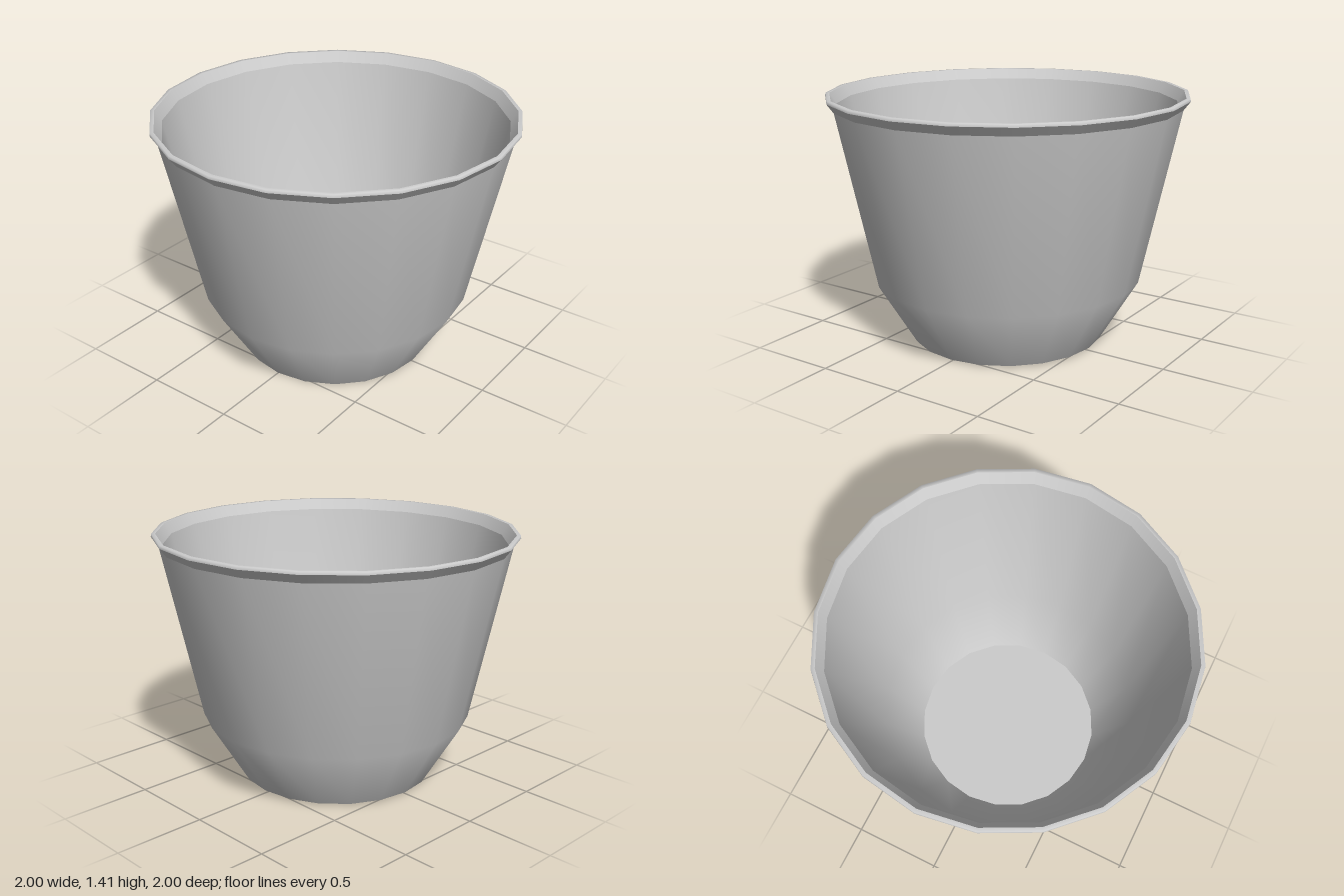
import * as THREE from 'three';

const SIDES = 20;

// Slight hand-made lean: the base dips toward the front, the rim barely does
function lean(geometry) {
  const p = geometry.attributes.position;
  for (let i = 0; i < p.count; i++) {
    const y = p.getY(i);
    const k = 0.013 - 0.01 * Math.min(y / 1.4, 1);
    p.setY(i, y - p.getZ(i) * k);
  }
  return geometry;
}

export function createModel() {
  const group = new THREE.Group();
  group.name = 'cup';
  const material = new THREE.MeshStandardMaterial({ color: 0xcccccc });

  // Each part is a ring of the cup's profile, listed as [radius, height]
  const part = (name, profile) => {
    const points = profile.map(([r, y]) => new THREE.Vector2(r, y));
    const mesh = new THREE.Mesh(lean(new THREE.LatheGeometry(points, SIDES)), material);
    mesh.name = name;
    group.add(mesh);
  };

  // Outside, from the base up to the flared lip
  part('base', [[0, 0.008], [0.545, 0.008]]);
  part('outerWall', [[0.545, 0.008], [0.755, 0.36], [0.962, 1.34]]);
  part('lipFlare', [[0.962, 1.34], [0.998, 1.388]]);
  part('lipEdge', [[0.998, 1.388], [0.996, 1.404], [0.975, 1.404]]);

  // Inside, from the lip down to the floor
  part('lipBevel', [[0.975, 1.404], [0.938, 1.345]]);
  part('innerWall', [[0.938, 1.345], [0.725, 0.365], [0.53, 0.03]]);
  part('floor', [[0.53, 0.03], [0, 0.03]]);

  return group;
}
